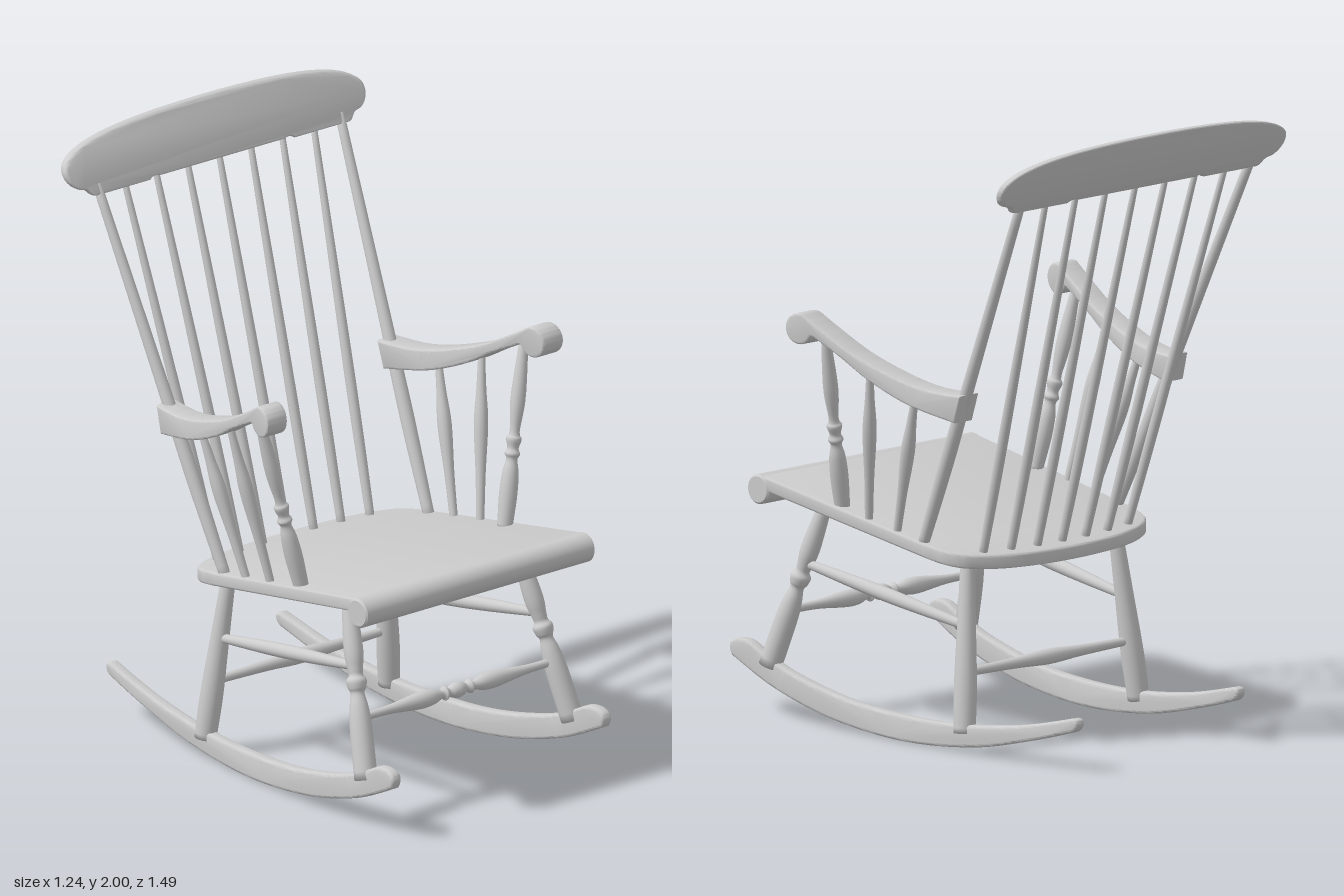
import * as THREE from 'three';
import { toCreasedNormals } from 'three/addons/utils/BufferGeometryUtils.js';

const material = new THREE.MeshStandardMaterial({ color: 0xcccccc });
const vec = (x, y, z) => new THREE.Vector3(x, y, z);
const points2 = (list) => list.map(([x, y]) => new THREE.Vector2(x, y));

export function createModel() {
  const chair = new THREE.Group();
  chair.name = 'rockingChair';

  function add(name, geometry) {
    const mesh = new THREE.Mesh(geometry, material);
    mesh.name = name;
    chair.add(mesh);
    return mesh;
  }

  // Turned rod from a to b; profile is a list of [fraction along, radius]
  function turned(name, a, b, profile, segments = 16) {
    const length = a.distanceTo(b);
    const curve = new THREE.SplineCurve(points2(profile.map(([t, r]) => [r, t * length])));
    const outline = [
      new THREE.Vector2(0, 0),
      ...curve.getPoints(profile.length * 4),
      new THREE.Vector2(0, length),
    ];
    const mesh = add(name, new THREE.LatheGeometry(outline, segments));
    mesh.position.copy(a);
    mesh.quaternion.setFromUnitVectors(vec(0, 1, 0), b.clone().sub(a).normalize());
  }

  // Extruded board with eased edges, centred on its thickness
  function board(shape, thickness, bevel) {
    const geometry = new THREE.ExtrudeGeometry(shape, {
      depth: thickness - 2 * bevel, bevelThickness: bevel, bevelSize: bevel,
      bevelOffset: -bevel, bevelSegments: 3, curveSegments: 16,
    });
    return geometry.translate(0, 0, bevel - thickness / 2);
  }

  // Slide vertices along one axis by a linear rule, then smooth the soft edges
  function shear(geometry, axis, by, offset, slope) {
    const p = geometry.attributes.position;
    for (let i = 0; i < p.count; i++) {
      p.setComponent(i, axis, p.getComponent(i, axis) + offset + slope * p.getComponent(i, by));
    }
    geometry.computeVertexNormals();
    return toCreasedNormals(geometry, 0.6);
  }

  // Seat: sloping board with a rounded back and a rolled front edge
  const seat = new THREE.Shape();
  seat.moveTo(-0.472, 0.6);
  seat.lineTo(0.472, 0.6);
  seat.lineTo(0.445, -0.13);
  seat.bezierCurveTo(0.44, -0.24, 0.41, -0.265, 0.34, -0.298);
  seat.bezierCurveTo(0.2, -0.365, -0.2, -0.365, -0.34, -0.298);
  seat.bezierCurveTo(-0.41, -0.265, -0.44, -0.24, -0.445, -0.13);
  const seatBoard = board(seat, 0.046, 0.008).rotateX(Math.PI / 2);
  add('seat', shear(seatBoard, 1, 2, 0.659, 0.164));
  const roll = new THREE.LatheGeometry(points2([
    [0, -0.475], [0.042, -0.475], [0.042, -0.475], [0.048, -0.469], [0.048, -0.469],
    [0.048, 0.469], [0.048, 0.469], [0.042, 0.475], [0.042, 0.475], [0, 0.475],
  ]), 28);
  add('seatFrontRoll', roll.rotateZ(Math.PI / 2)).position.set(0, 0.732, 0.595);

  // Crest rail: half outline mirrored, leaning back
  const crest = new THREE.Shape();
  crest.moveTo(-0.3, 1.81);
  crest.bezierCurveTo(-0.28, 1.825, -0.27, 1.815, -0.25, 1.815);
  crest.lineTo(0.25, 1.815);
  crest.bezierCurveTo(0.27, 1.815, 0.28, 1.825, 0.3, 1.81);
  crest.lineTo(0.52, 1.81);
  crest.bezierCurveTo(0.55, 1.81, 0.54, 1.835, 0.575, 1.838);
  crest.bezierCurveTo(0.61, 1.845, 0.635, 1.89, 0.61, 1.92);
  crest.bezierCurveTo(0.56, 1.97, 0.4, 2, 0, 2);
  crest.bezierCurveTo(-0.4, 2, -0.56, 1.97, -0.61, 1.92);
  crest.bezierCurveTo(-0.635, 1.89, -0.61, 1.845, -0.575, 1.838);
  crest.bezierCurveTo(-0.54, 1.835, -0.55, 1.81, -0.52, 1.81);
  add('crestRail', shear(board(crest, 0.032, 0.009), 2, 1, -0.62 + 1.81 * 0.43, -0.43));

  // Back spindles fanning out from the seat to the crest rail
  for (let i = -3; i <= 3; i++) {
    turned('backSpindle', vec(i * 0.105, 0.62, -0.292 + 0.0035 * i * i),
      vec(i * 0.131, 1.84, -0.632), [[0, 0.014], [0.35, 0.017], [1, 0.01]], 12);
  }

  // Rocker runner outline, in z and y
  const rocker = new THREE.Shape();
  rocker.moveTo(0.735, 0.175);
  rocker.splineThru(points2([[0.55, 0.092], [0.3, 0.027], [0, 0], [-0.3, 0.023],
    [-0.55, 0.08], [-0.72, 0.13]]));
  rocker.bezierCurveTo(-0.75, 0.14, -0.755, 0.178, -0.725, 0.176);
  rocker.splineThru(points2([[-0.5, 0.122], [-0.25, 0.089], [0, 0.083], [0.25, 0.102],
    [0.5, 0.158], [0.65, 0.225]]));
  rocker.bezierCurveTo(0.69, 0.245, 0.775, 0.235, 0.735, 0.175);

  // Armrest outline, in z and y, with a scrolled front
  const arm = new THREE.Shape();
  arm.moveTo(-0.325, 1.085);
  arm.splineThru(points2([[-0.15, 1.12], [0, 1.178], [0.12, 1.245], [0.22, 1.295]]));
  arm.absarc(0.275, 1.315, 0.05, Math.PI * 1.12, Math.PI * 2.6, false);
  arm.splineThru(points2([[0.17, 1.312], [0.05, 1.252], [-0.1, 1.202], [-0.22, 1.178],
    [-0.35, 1.175]]));

  const legProfile = [[0, 0.037], [0.28, 0.036], [0.4, 0.03], [0.47, 0.022], [0.5, 0.029],
    [0.54, 0.033], [0.57, 0.023], [0.61, 0.025], [0.72, 0.031], [1, 0.021]];
  const armPostProfile = [[0, 0.024], [0.18, 0.029], [0.3, 0.026], [0.37, 0.018],
    [0.4, 0.025], [0.43, 0.018], [0.48, 0.025], [0.52, 0.016], [0.7, 0.024], [1, 0.014]];
  const armSpindleProfile = [[0, 0.013], [0.3, 0.016], [0.6, 0.023], [0.8, 0.016], [1, 0.011]];

  for (const s of [1, -1]) {
    const side = s > 0 ? 'left' : 'right';
    const at = (x, y, z) => vec(s * x, y, z);

    add(side + 'Rocker',
      shear(board(rocker, 0.04, 0.01).rotateY(-Math.PI / 2), 0, 2, s * 0.394, s * 0.057));
    add(side + 'Armrest',
      shear(board(arm, 0.084, 0.007).rotateY(-Math.PI / 2), 0, 2, s * 0.517, s * 0.172));

    // Legs and side stretcher
    turned(side + 'FrontLeg', at(0.428, 0.16, 0.585), at(0.35, 0.71, 0.407), legProfile, 20);
    turned(side + 'BackLeg', at(0.381, 0.06, -0.248), at(0.32, 0.63, -0.2),
      [[0, 0.035], [0.25, 0.037], [0.6, 0.03], [1, 0.022]], 20);
    turned(side + 'SideStretcher', at(0.379, 0.5, 0.475), at(0.345, 0.395, -0.22),
      [[0, 0.014], [0.5, 0.023], [1, 0.014]]);

    // Outer back post, running past the armrest to the crest rail
    turned(side + 'BackPost', at(0.422, 0.645, -0.1), at(0.503, 1.84, -0.632),
      [[0, 0.018], [0.25, 0.023], [0.5, 0.02], [1, 0.015]]);

    // Supports under the armrest
    turned(side + 'ArmPost', at(0.42, 0.71, 0.265), at(0.55, 1.3, 0.208), armPostProfile);
    turned(side + 'ArmSpindle', at(0.43, 0.67, 0.135), at(0.522, 1.215, 0.035),
      armSpindleProfile, 12);
    turned(side + 'ArmSpindle', at(0.428, 0.66, 0.012), at(0.492, 1.15, -0.14),
      armSpindleProfile, 12);
  }

  // Front stretcher with a beaded centre, profile mirrored about the middle
  const half = [[0, 0.013], [0.15, 0.015], [0.3, 0.027], [0.37, 0.025], [0.42, 0.014],
    [0.435, 0.024], [0.455, 0.014], [0.475, 0.022]];
  const mirrored = half.map(([t, r]) => [1 - t, r]).reverse();
  turned('frontStretcher', vec(-0.4, 0.345, 0.525), vec(0.4, 0.345, 0.525),
    [...half, [0.5, 0.026], ...mirrored]);
  turned('backStretcher', vec(-0.36, 0.25, -0.232), vec(0.36, 0.25, -0.232),
    [[0, 0.013], [0.3, 0.018], [0.5, 0.025], [0.7, 0.018], [1, 0.013]]);

  return chair;
}
